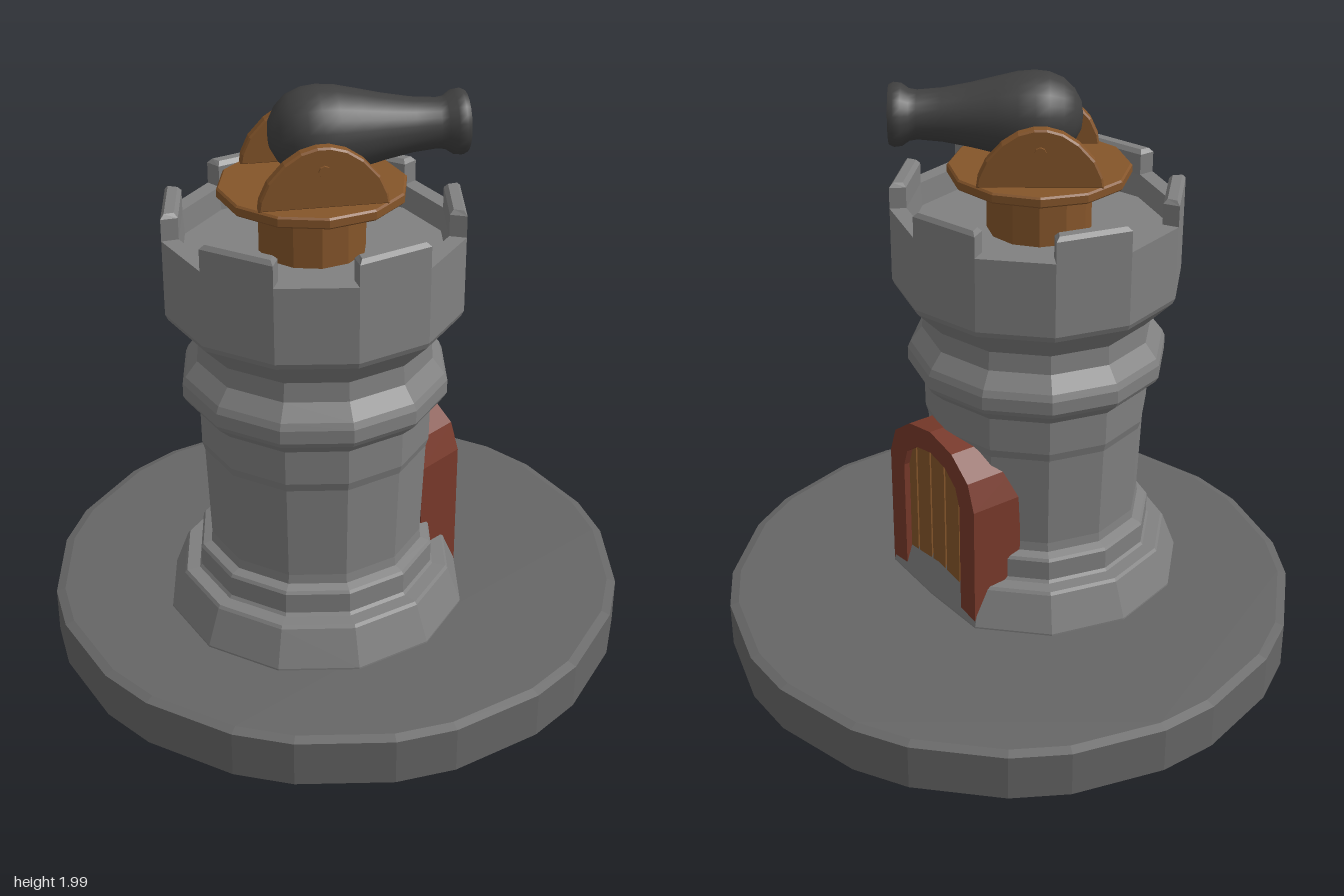
import * as THREE from 'three';
import { toCreasedNormals } from 'three/addons/utils/BufferGeometryUtils.js';

const mat = (color, flatShading = true) => new THREE.MeshStandardMaterial({ color, flatShading });
const STONE = mat(0x808080), GROUND = mat(0x666666), WOOD = mat(0x85552a);
const FRAME = mat(0x78392a), GROOVE = mat(0x3a2614), IRON = mat(0x404040, false);
const DEG = Math.PI / 180;

function add(parent, name, geometry, material, x = 0, y = 0, z = 0) {
  const mesh = new THREE.Mesh(geometry, material);
  mesh.name = name;
  mesh.position.set(x, y, z);
  parent.add(mesh);
  return mesh;
}

const lathe = (profile, sides) =>
  new THREE.LatheGeometry(profile.map(([r, y]) => new THREE.Vector2(r, y)), sides);

// Bevelled slab: outline in plan, standing from y = 0 to the given height
function slab(points, height, bevelSize, bevelThickness) {
  const shape = new THREE.Shape(points.map(([x, z]) => new THREE.Vector2(x, -z)));
  const g = new THREE.ExtrudeGeometry(shape, {
    depth: height - 2 * bevelThickness, bevelSize, bevelThickness,
    bevelOffset: -bevelSize, bevelSegments: 1,
  });
  g.translate(0, 0, bevelThickness);
  return g.rotateX(-Math.PI / 2);
}

const polar = (r, deg) => [r * Math.cos(deg * DEG), r * Math.sin(deg * DEG)];

// Half-ellipse of an arch, right to left
function archPoints(halfWidth, spring, rise) {
  const pts = [];
  for (let a = 0; a <= 180; a += 30)
    pts.push(new THREE.Vector2(halfWidth * Math.cos(a * DEG), spring + rise * Math.sin(a * DEG)));
  return pts;
}

// Outline extruded along +x
const extrudeX = (pts, depth) =>
  new THREE.ExtrudeGeometry(new THREE.Shape(pts), { depth, bevelEnabled: false }).rotateY(Math.PI / 2);

function buildTower() {
  const tower = new THREE.Group();
  tower.name = 'tower';

  const body = lathe([
    [0.51, 0.17], [0.51, 0.19], [0.463, 0.315], [0.455, 0.325], [0.41, 0.328], [0.402, 0.338],
    [0.402, 0.408], [0.395, 0.418], [0.366, 0.428], [0.362, 0.46], [0.375, 0.79], [0.384, 0.82],
    [0.386, 0.94], [0.43, 0.982], [0.44, 1.0], [0.44, 1.045], [0.43, 1.068], [0.39, 1.12],
    [0.385, 1.185], [0.476, 1.28], [0.485, 1.3], [0.485, 1.55], [0.43, 1.55], [0.425, 1.47], [0, 1.47],
  ], 12);
  // Flatten the foot in front of the doorway
  const p = body.attributes.position;
  for (let i = 0; i < p.count; i++)
    if (p.getX(i) > 0.44 && Math.abs(p.getZ(i)) < 0.01 && p.getY(i) < 0.33)
      p.setX(i, p.getX(i) * 0.866 + 0.01);
  add(tower, 'towerBody', body, STONE);

  // Merlons on every second facet
  for (let a = 30; a < 390; a += 60) {
    const quad = [polar(0.485, a + 30), polar(0.485, a), polar(0.43, a), polar(0.43, a + 30)];
    add(tower, 'merlon', slab(quad, 0.105, 0.012, 0.014), STONE, 0, 1.53, 0);
  }
  return tower;
}

function buildDoor() {
  const door = new THREE.Group();
  door.name = 'door';
  const outer = archPoints(0.255, 0.64, 0.19);
  const inner = archPoints(0.17, 0.62, 0.13);
  const floor = (x) => new THREE.Vector2(x, 0.18);
  add(door, 'doorFrame', extrudeX(
    [floor(0.255), ...outer, floor(-0.255), floor(-0.17), ...inner.slice().reverse(), floor(0.17)], 0.188),
  FRAME, 0.1);
  add(door, 'doorBacking', extrudeX([floor(0.17), ...inner, floor(-0.17)], 0.15), GROOVE, 0.1);
  // Vertical planks with narrow gaps; their tops run into the frame
  for (let i = 0; i < 5; i++) {
    const z = 0.165 - i * 0.086;
    const top = Math.abs(z) < 0.1 ? 0.77 : 0.715;
    add(door, 'doorPlank', new THREE.BoxGeometry(0.06, top - 0.19, 0.077), WOOD, 0.236, (top + 0.19) / 2, z);
  }
  return door;
}

function buildCannon() {
  const cannon = new THREE.Group();
  cannon.name = 'cannon';

  // Turntable
  add(cannon, 'pedestal', new THREE.CylinderGeometry(0.172, 0.172, 0.2, 12), WOOD, 0, 1.565, 0);
  const disc = Array.from({ length: 12 }, (_, i) => polar(0.3, -i * 30));
  add(cannon, 'turntable', slab(disc, 0.036, 0.006, 0.006), WOOD, 0, 1.655, 0);

  // Carriage cheeks and trunnion
  const half = [[0.2, 0], [0.195, 0.035], [0.17, 0.09], [0.12, 0.145], [0.07, 0.178], [0.02, 0.192]];
  const outline = [...half, ...half.slice().reverse().map(([x, y]) => [-x, y])];
  const cheek = new THREE.ExtrudeGeometry(
    new THREE.Shape(outline.map(([x, y]) => new THREE.Vector2(x, y))),
    { depth: 0.03, bevelSize: 0.006, bevelThickness: 0.006, bevelOffset: -0.006, bevelSegments: 1 });
  cheek.translate(0, 0, -0.015);
  for (const side of [-1, 1]) add(cannon, 'cheek', cheek, WOOD, 0, 1.688, side * 0.195);
  const pin = new THREE.CylinderGeometry(0.019, 0.019, 0.45, 8).rotateX(Math.PI / 2);
  add(cannon, 'trunnion', pin, WOOD, 0, 1.807, 0);

  // Barrel with a hollow muzzle
  const barrel = lathe([
    [0, -0.138], [0.045, -0.132], [0.085, -0.11], [0.118, -0.075], [0.137, -0.03], [0.142, 0.015],
    [0.138, 0.07], [0.122, 0.14], [0.103, 0.22], [0.086, 0.31], [0.079, 0.39], [0.083, 0.415],
    [0.1, 0.44], [0.103, 0.465], [0.096, 0.48], [0.07, 0.48], [0.062, 0.465], [0.058, 0.22], [0, 0.22],
  ], 24).rotateZ(-Math.PI / 2);
  add(cannon, 'barrel', toCreasedNormals(barrel, 0.7), IRON, 0, 1.854, 0);

  cannon.rotation.y = -36 * DEG;
  return cannon;
}

export function createModel() {
  const model = new THREE.Group();
  model.name = 'cannonTower';

  // Round base with clipped corners
  const rim = [];
  for (let a = 360; a > 0; a -= 30) rim.push(polar(0.99, a + 5.8), polar(0.99, a - 5.8));
  add(model, 'groundDisc', slab(rim, 0.18, 0.03, 0.01), GROUND, 0, 0.004, 0);

  const tower = buildTower(), door = buildDoor(), cannon = buildCannon();
  tower.position.set(-0.149, 0, 0.045);
  door.position.set(0, 0, 0.052);
  cannon.position.set(-0.149, 0, 0.04);
  model.add(tower, door, cannon);
  return model;
}
